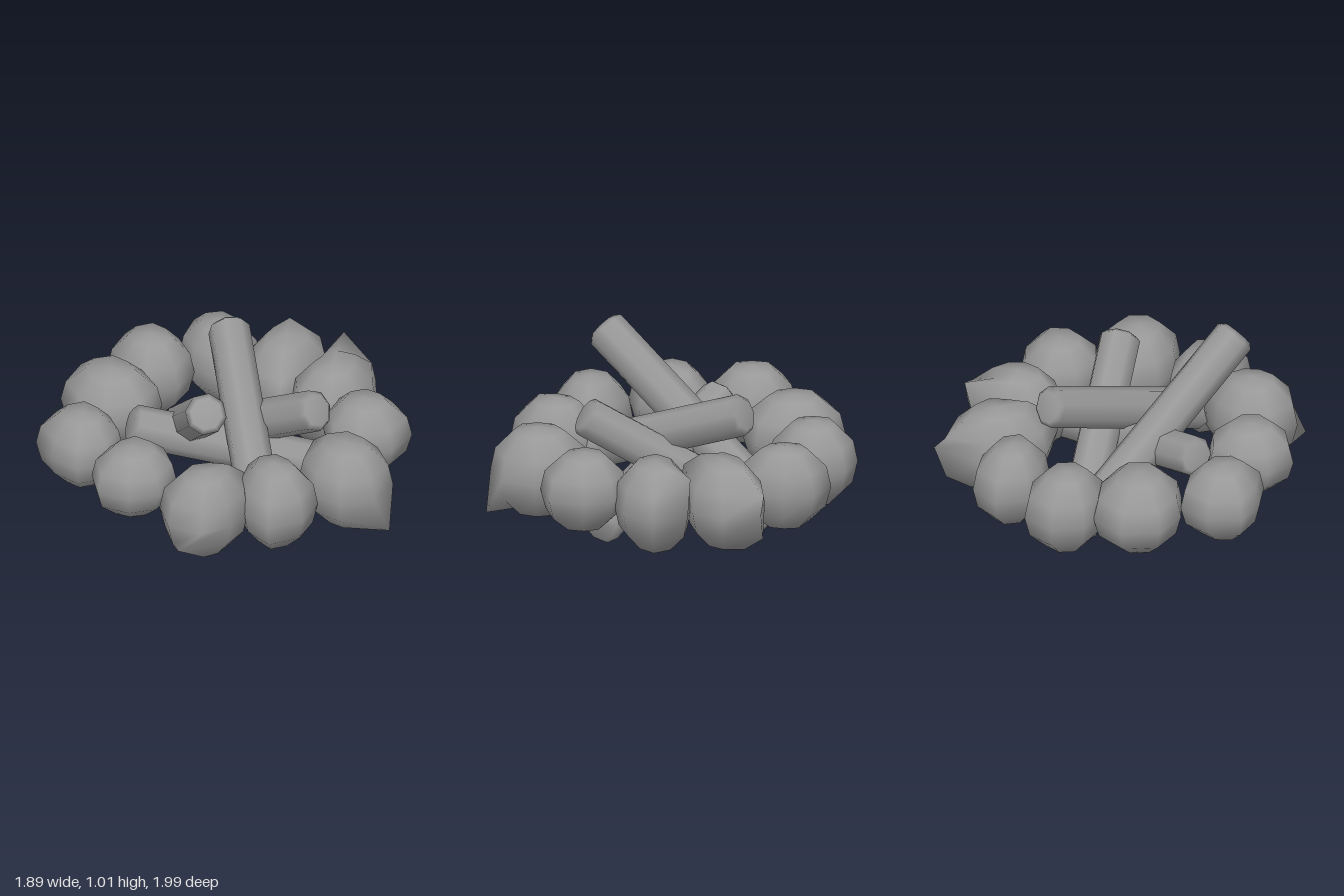
import * as THREE from 'three';

const SIDES = 8;
const STONE_TOP = 0.625;
// Stone cross-sections from low to high: [height, width] as fractions
const RINGS = [[-0.92, 0.47], [-0.5, 0.88], [0, 1], [0.5, 0.9], [0.92, 0.5]];

// Stones: x, z, low y, outline radii (hundredths) from +x towards +z,
// then an optional chipped corner as [ring, side, x, y, z]
const STONES = [
  [0.20, 0.72, 0.13, [25, 26, 25, 24, 22, 25, 30, 28], [1, 2, 0.29, 0.16, 0.99]],
  [-0.22, 0.63, 0.13, [20, 24, 25, 27, 20, 20, 24, 23]],
  [-0.55, 0.46, 0.12, [30, 23, 21, 24, 26, 25, 23, 22], [1, 3, -0.82, 0.27, 0.56]],
  [-0.71, 0.03, 0.22, [24, 24, 23, 22, 24, 22, 21, 25]],
  [-0.71, -0.40, 0.19, [21, 22, 23, 24, 21, 25, 24, 25]],
  [-0.32, -0.64, 0.17, [24, 28, 28, 25, 24, 27, 28, 27]],
  [0.05, -0.76, 0.15, [22, 24, 24, 23, 20, 23, 24, 25]],
  [0.42, -0.62, 0.16, [19, 22, 26, 22, 19, 22, 25, 23]],
  [0.62, -0.30, 0.13, [26, 23, 21, 35, 28, 22, 22, 35], [2, 7, 0.91, 0.42, -0.51]],
  [0.65, 0.07, 0.12, [29, 23, 22, 24, 28, 23, 20, 26], [3, 7, 0.88, 0.61, -0.13]],
  [0.55, 0.45, 0.19, [22, 26, 24, 23, 23, 22, 23, 23]],
];

// Logs: high end, low end
const LOGS = [
  [[-0.49, 0.93, 0.39], [0.02, 0.19, -0.46]],
  [[0.30, 0.755, -0.40], [-0.23, 0.31, 0.52]],
  [[-0.50, 0.53, -0.25], [0.49, 0.16, 0.38]],
  [[0.21, 0.70, 0.47], [0.08, 0.08, -0.53]],
];

function stoneGeometry([x, z, low, radii, corner]) {
  const pos = [], index = [];
  const mid = (low + STONE_TOP) / 2, half = (STONE_TOP - low) / 2;
  for (const [h, w] of RINGS) {
    for (let j = 0; j < SIDES; j++) {
      const a = (j / SIDES) * Math.PI * 2, r = (radii[j] / 100) * w;
      pos.push(x + Math.cos(a) * r, mid + h * half, z + Math.sin(a) * r);
    }
  }
  if (corner) {
    const [ring, side, ...point] = corner;
    pos.splice((ring * SIDES + side) * 3, 3, ...point);
  }
  const bottom = RINGS.length * SIDES, top = bottom + 1;
  pos.push(x, low, z, x, STONE_TOP, z);
  for (let j = 0; j < SIDES; j++) {
    const k = (j + 1) % SIDES, last = (RINGS.length - 1) * SIDES;
    for (let i = 0; i < RINGS.length - 1; i++) {
      const a = i * SIDES + j, b = i * SIDES + k;
      index.push(a, a + SIDES, b, b, a + SIDES, b + SIDES);
    }
    index.push(bottom, j, k, top, last + k, last + j);
  }
  const g = new THREE.BufferGeometry();
  g.setAttribute('position', new THREE.Float32BufferAttribute(pos, 3));
  g.setIndex(index);
  g.computeVertexNormals();
  return g;
}

// Eight-sided log with softened rims, running along +y
function logGeometry(length, r = 0.114, rim = 0.025) {
  const h = length / 2;
  const profile = [[0, -h], [r * 0.76, -h], [r, -h + rim], [r, h - rim], [r * 0.76, h], [0, h]];
  return new THREE.LatheGeometry(profile.map(([x, y]) => new THREE.Vector2(x, y)), SIDES);
}

export function createModel() {
  const grey = new THREE.MeshStandardMaterial({ color: 0x989898 });
  grey.name = 'stone grey';
  const model = new THREE.Group();
  model.name = 'campfire';

  // Ring of stones
  const ring = new THREE.Group();
  ring.name = 'stoneRing';
  STONES.forEach((s, i) => {
    const stone = new THREE.Mesh(stoneGeometry(s), grey);
    stone.name = `stone${i + 1}`;
    ring.add(stone);
  });

  // Crossed logs
  const pile = new THREE.Group();
  pile.name = 'logPile';
  LOGS.forEach(([p, q], i) => {
    const a = new THREE.Vector3(...p), b = new THREE.Vector3(...q);
    const dir = a.clone().sub(b);
    const log = new THREE.Mesh(logGeometry(dir.length()), grey);
    log.position.copy(a).add(b).multiplyScalar(0.5);
    log.quaternion.setFromUnitVectors(new THREE.Vector3(0, 1, 0), dir.normalize());
    log.name = `log${i + 1}`;
    pile.add(log);
  });

  model.add(ring, pile);
  return model;
}
